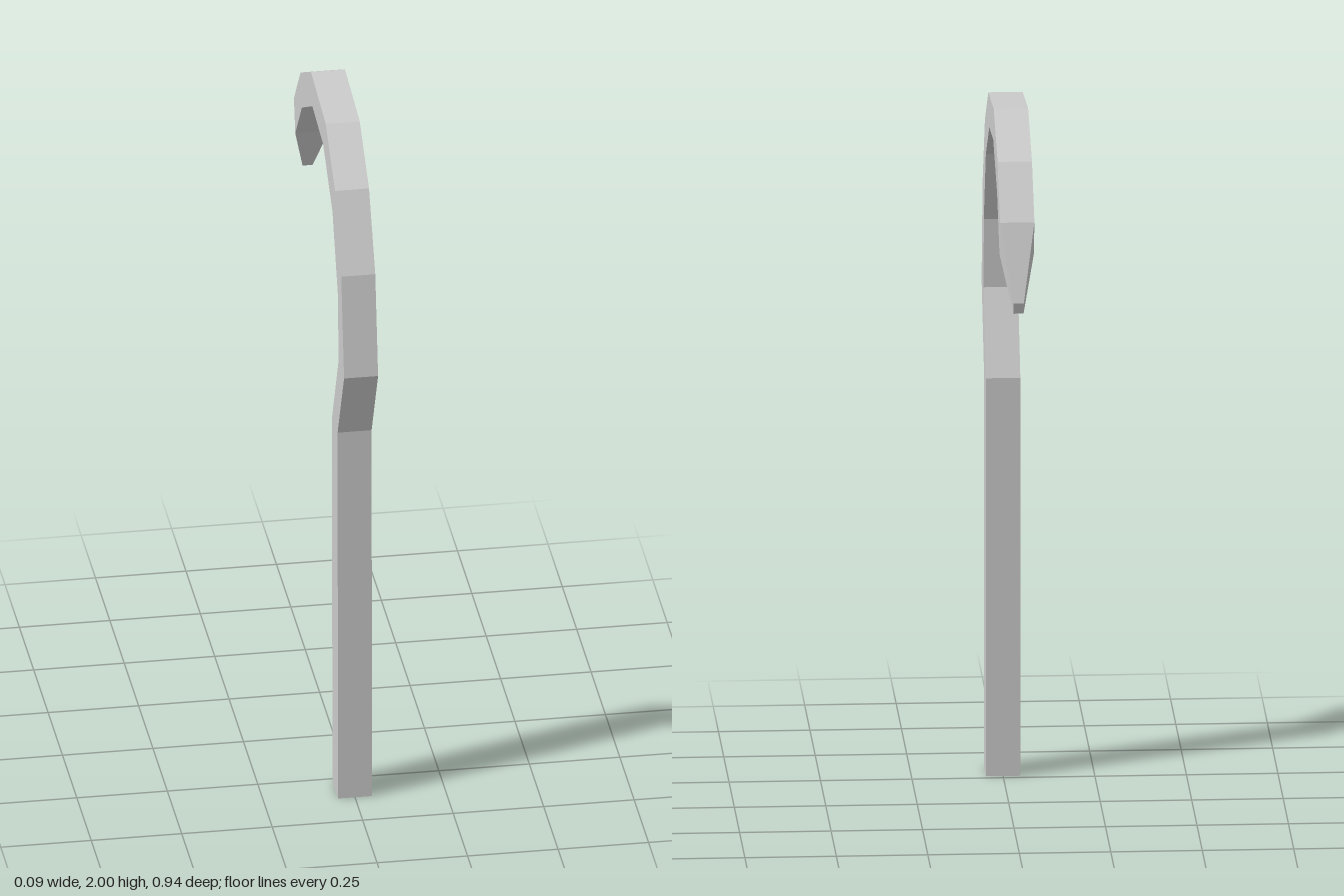
import * as THREE from 'three';

// Cross-sections along the staff: [outer z, outer y, inner z, inner y, half width]
const W = 0.047;
const sections = [
  [0.366, 0, 0.267, 0, W],
  [0.359, 1.128, 0.265, 1.13, W],
  [0.472, 1.355, 0.375, 1.357, W],
  [0.423, 1.644, 0.366, 1.553, W],
  [0.314, 1.852, 0.27, 1.765, W],
  [0.153, 1.974, 0.107, 1.888, W],
  [-0.103, 2, -0.08, 1.906, W],
  [-0.286, 1.902, -0.262, 1.806, W],
  [-0.401, 1.762, -0.377, 1.666, W],
  [-0.47, 1.552, -0.459, 1.52, 0.014],
];

// Four-sided loft through a run of cross-sections, with optional end caps
function loft(rows, capStart, capEnd) {
  const positions = [];
  const index = [];
  for (const [oz, oy, iz, iy, w] of rows) {
    positions.push(-w, oy, oz, w, oy, oz, w, iy, iz, -w, iy, iz);
  }
  for (let i = 0; i < rows.length - 1; i++) {
    for (let j = 0; j < 4; j++) {
      const a = i * 4 + j;
      const b = i * 4 + (j + 1) % 4;
      index.push(a, b, b + 4, a, b + 4, a + 4);
    }
  }
  if (capStart) index.push(0, 2, 1, 0, 3, 2);
  const n = (rows.length - 1) * 4;
  if (capEnd) index.push(n, n + 1, n + 2, n, n + 2, n + 3);

  const geometry = new THREE.BufferGeometry();
  geometry.setAttribute('position', new THREE.Float32BufferAttribute(positions, 3));
  geometry.setIndex(index);
  const flat = geometry.toNonIndexed();
  flat.computeVertexNormals();
  return flat;
}

export function createModel() {
  const group = new THREE.Group();
  group.name = 'hookedStaff';
  const material = new THREE.MeshStandardMaterial({ color: 0xcccccc, flatShading: true });

  const add = (name, from, to) => {
    const last = sections.length - 1;
    const mesh = new THREE.Mesh(loft(sections.slice(from, to + 1), from === 0, to === last), material);
    mesh.name = name;
    group.add(mesh);
  };

  add('shaft', 0, 1); // straight square handle
  add('crook', 1, 8); // faceted curved hook
  add('tip', 8, 9); // tapered point
  return group;
}
